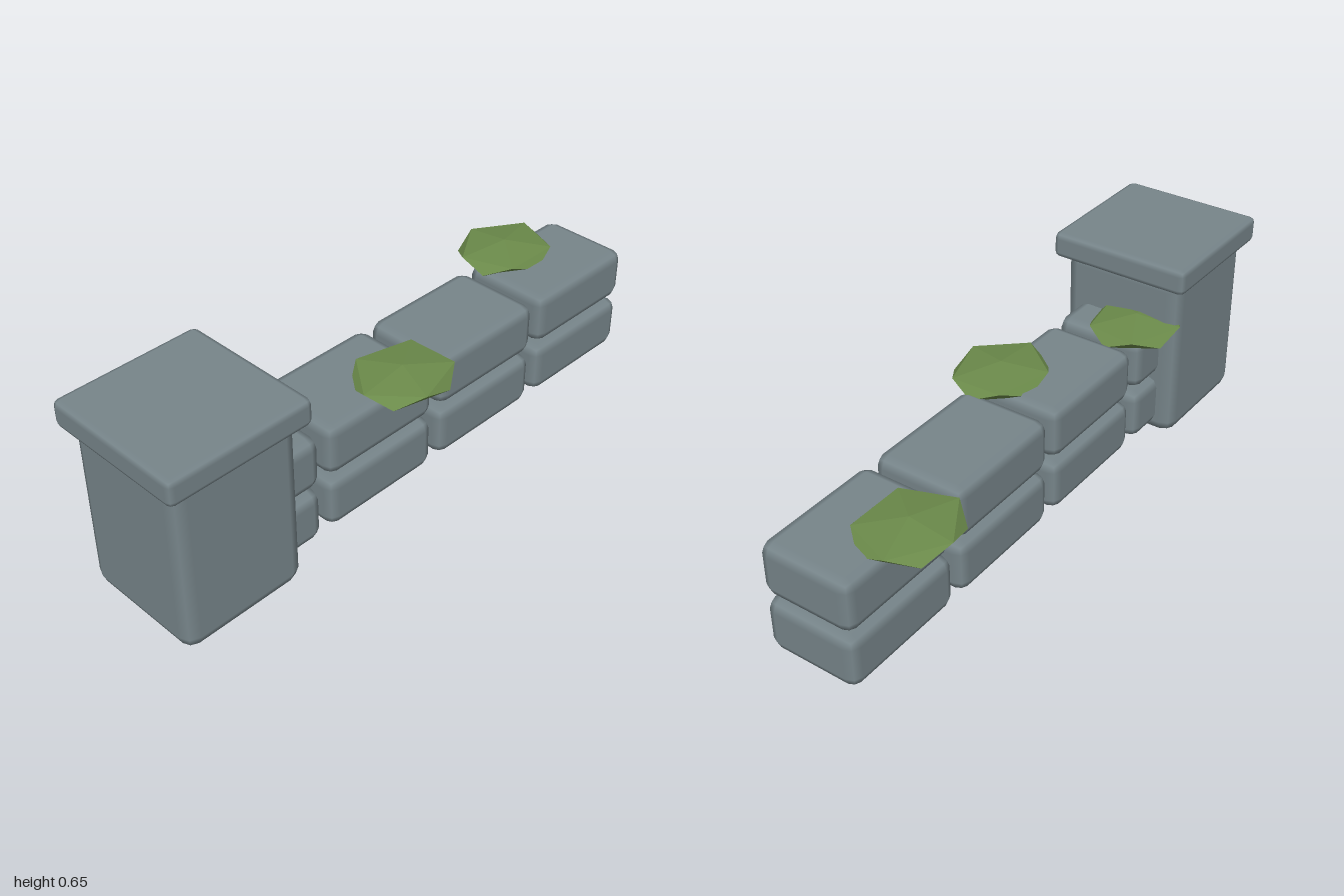
import * as THREE from 'three';
import { RoundedBoxGeometry } from 'three/addons/geometries/RoundedBoxGeometry.js';

export function createModel() {
  const model = new THREE.Group();
  model.name = 'stoneWall';
  const stone = new THREE.MeshStandardMaterial({ color: 0x77858a });
  const moss = new THREE.MeshStandardMaterial({ color: 0x6b8a4a, flatShading: true });
  const cx = 0.01; // the masonry sits slightly off centre

  // Rounded stone given by its bottom and top, z range and width
  function addStone(name, width, y0, y1, z0, z1, radius) {
    const geometry = new RoundedBoxGeometry(width, y1 - y0, z1 - z0, 1, radius);
    const mesh = new THREE.Mesh(geometry, stone);
    mesh.name = name;
    mesh.position.set(cx, (y0 + y1) / 2, (z0 + z1) / 2);
    model.add(mesh);
  }

  // End pillar and its overhanging cap
  addStone('pillar', 0.43, 0, 0.59, 0.543, 0.972, 0.045);
  addStone('pillarCap', 0.49, 0.565, 0.653, 0.512, 1, 0.02);

  // Two courses of four blocks; the last pair runs into the pillar
  for (let row = 0; row < 2; row++) {
    for (let i = 0; i < 4; i++) {
      const y = 0.038 + row * 0.196;
      const z = -1 + i * 0.47;
      addStone('wallBlock', 0.312, y, y + 0.176, z, z + 0.438, 0.035);
    }
  }

  // Flattened, faceted moss clumps: a vertex-up icosahedron, turned and squashed
  function addMoss(x, z, turn) {
    const geometry = new THREE.IcosahedronGeometry(1, 0);
    geometry.rotateZ(Math.atan(2 / (1 + Math.sqrt(5))));
    geometry.rotateY(turn);
    geometry.scale(0.165, 0.036, 0.188);
    const mesh = new THREE.Mesh(geometry, moss);
    mesh.name = 'mossClump';
    mesh.position.set(x, 0.413, z);
    model.add(mesh);
  }
  addMoss(-0.125, -0.72, 0);
  addMoss(0.125, 0.037, 0.35);
  addMoss(-0.065, 0.525, 0.2);

  return model;
}
